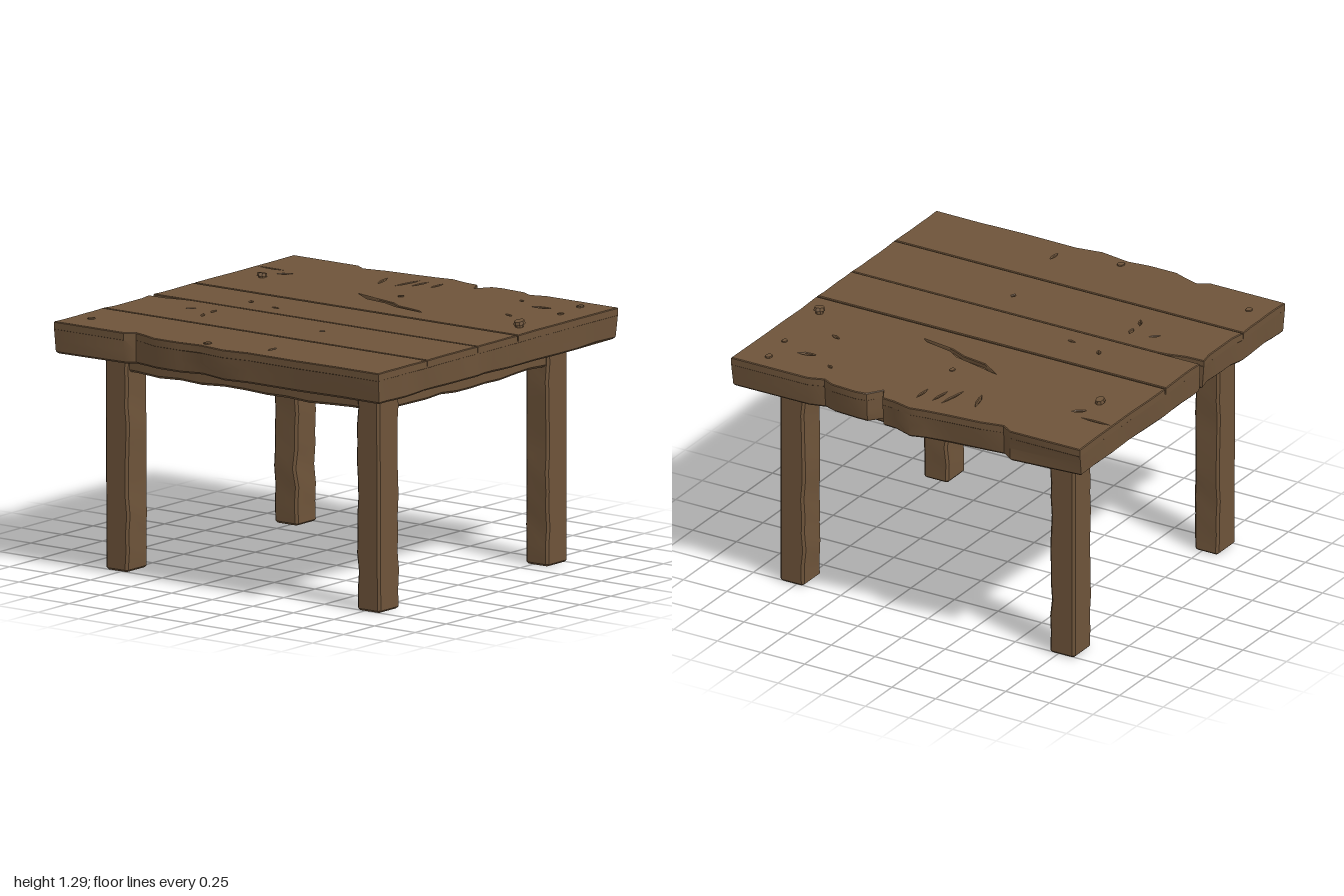
import * as THREE from 'three';
import { toCreasedNormals } from 'three/addons/utils/BufferGeometryUtils.js';

const wood = new THREE.MeshStandardMaterial({ color: 0x6e543a });
wood.name = 'brown wood';

// smooth repeatable unevenness in 0..1
const wear = (a, b) => 0.5 + 0.25 * (Math.sin(a * 9.1 + b * 4.3) + Math.sin(a * 23.7 - b * 7.9 + 1.3));

function moveVertices(geo, rule) {
  const p = geo.attributes.position;
  const v = new THREE.Vector3();
  for (let i = 0; i < p.count; i++) {
    v.fromBufferAttribute(p, i);
    rule(v);
    p.setXYZ(i, v.x, v.y, v.z);
  }
  return geo;
}

function addMesh(group, name, geo) {
  const mesh = new THREE.Mesh(toCreasedNormals(geo, 0.6), wood);
  mesh.name = name;
  group.add(mesh);
  return mesh;
}

// shape drawn in plan (x, z) and raised from y0 to y1
function slab(points, holes, y0, y1, bevel, steps) {
  const toPlan = (list) => list.map(([x, z]) => new THREE.Vector2(x, -z));
  const shape = new THREE.Shape(toPlan(points));
  holes.forEach((h) => shape.holes.push(new THREE.Path(toPlan(h))));
  const geo = new THREE.ExtrudeGeometry(shape, {
    depth: y1 - y0 - 2 * bevel, steps, bevelEnabled: true, bevelSegments: 1,
    bevelSize: bevel, bevelThickness: bevel, bevelOffset: -bevel,
  });
  return geo.rotateX(-Math.PI / 2).translate(0, y0 + bevel, 0);
}

// square timber along z with chamfered corners
function timber(w, h, length) {
  const x = w / 2, y = h / 2, c = 0.012;
  const shape = new THREE.Shape([
    [x - c, -y], [x, c - y], [x, y - c], [x - c, y], [c - x, y], [-x, y - c], [-x, c - y], [c - x, -y],
  ].map(([a, b]) => new THREE.Vector2(a, b)));
  const geo = new THREE.ExtrudeGeometry(shape, {
    depth: length - 0.02, steps: 12, bevelEnabled: true, bevelSegments: 1,
    bevelSize: 0.01, bevelThickness: 0.01, bevelOffset: -0.01,
  });
  return geo.translate(0, 0, 0.01 - length / 2);
}

// worn outer edges and plank joints, listed from back to front
const leftEdge = [[-0.97, -1], [-0.97, -0.57], [-0.935, -0.52], [-0.955, -0.45], [-0.985, -0.37], [-0.985, -0.22],
  [-0.97, -0.1], [-0.995, 0.06], [-0.972, 0.2], [-0.976, 0.5], [-0.968, 0.75], [-0.97, 1]];
const rightEdge = [[0.963, -1], [0.963, -0.6], [0.925, -0.54], [0.95, -0.42], [0.965, -0.25], [0.98, -0.12], [0.995, -0.04],
  [0.97, 0.06], [0.965, 0.13], [0.89, 0.17], [0.965, 0.22], [0.975, 0.28], [0.965, 0.42], [0.935, 0.48], [0.963, 0.56], [0.963, 1]];
const joint = (x) => [[x, -1], [x, -0.3], [x, 0.3], [x, 1]];
const notched = [[-0.205, -1], [-0.2, -0.9], [-0.175, -0.8], [-0.17, -0.75], [-0.17, 1]];
const planks = [
  { left: leftEdge, right: joint(-0.575), gaps: [0, 0.003] },
  { left: joint(-0.575), right: notched, gaps: [0.003, 0.002] },
  { left: joint(-0.17), right: joint(0.155), gaps: [0.002, 0.005] },
  { left: joint(0.155), right: rightEdge, gaps: [0.005, 0] },
];

// cracks as [plank, x, z, length, width, angle]
const cracks = [
  [0, -0.83, 0.24, 0.07, 0.012, 0], [1, -0.41, -0.51, 0.06, 0.012, 0.5], [1, -0.31, -0.52, 0.05, 0.016, 0.2],
  [1, -0.35, 0.18, 0.025, 0.018, 0], [1, -0.32, -0.65, 0.05, 0.01, -0.8], [2, -0.06, -0.33, 0.04, 0.01, 1.5],
  [2, -0.02, -0.51, 0.04, 0.016, 0.6], [3, 0.75, -0.29, 0.13, 0.014, 0.3], [3, 0.78, -0.16, 0.17, 0.01, -0.15],
  [3, 0.82, -0.01, 0.1, 0.01, 0], [3, 0.8, -0.1, 0.12, 0.01, -0.1], [3, 0.5, 0.68, 0.05, 0.016, 1.2],
  [3, 0.8, 0.53, 0.03, 0.014, 1], [3, 0.65, -0.9, 0.16, 0.008, 1.57], [3, 0.59, -0.77, 0.07, 0.02, -0.9],
  [3, 0.735, 0.7, 0.09, 0.024, -1.3],
];
const gouge = [[0.29, 0.3], [0.32, 0.12], [0.36, 0.03], [0.38, -0.1], [0.45, -0.21], [0.41, -0.07], [0.38, 0.06], [0.34, 0.12], [0.31, 0.27]];

function crackOutline([, x, z, length, width, angle]) {
  return [[-1, 0], [-0.3, -1], [0.4, -0.7], [1, 0], [0.3, 1], [-0.5, 0.6]].map(([u, v]) => {
    const a = u * length / 2, b = v * width / 2;
    return [x + a * Math.cos(angle) + b * Math.sin(angle), z - a * Math.sin(angle) + b * Math.cos(angle)];
  });
}

// plank outline, with slightly uneven cut ends
function plankOutline({ left, right }, gapL, gapR) {
  const l = left.map(([x, z]) => [x + gapL, z]);
  const r = right.map(([x, z]) => [x - gapR, z]);
  const end = (a, b, sign) => [0.2, 0.4, 0.6, 0.8].map((t) => {
    const x = a[0] + (b[0] - a[0]) * t;
    const dip = sign < 0 && x > -0.55 && x < -0.25 ? 0.014 : 0.006 * wear(x, sign);
    return [x, sign * (1 - dip)];
  });
  return [...l, ...end(l.at(-1), r.at(-1), 1), ...r.reverse(), ...end(r.at(-1), l[0], -1)];
}

export function createModel() {
  const table = new THREE.Group();
  table.name = 'table';

  // table top: thick planks under a worn, cracked upper layer
  planks.forEach((plank, i) => {
    const body = slab(plankOutline(plank, 0, 0), [], 1.096, 1.235, 0.01, 2);
    moveVertices(body, (v) => {
      const depth = (1.235 - v.y) / 0.139;
      if (Math.abs(v.x) > 0.88) v.x -= Math.sign(v.x) * 0.025 * depth * wear(v.z, v.x > 0 ? 1 : 2);
      if (Math.abs(v.z) > 0.95) v.z -= Math.sign(v.z) * 0.014 * depth * wear(v.x, v.z > 0 ? 3 : 4);
      if (depth > 0.9) v.y += 0.008 * wear(v.x * 0.6, v.z * 0.6);
    });
    addMesh(table, 'plank' + (i + 1), body);
    const holes = cracks.filter((c) => c[0] === i).map(crackOutline);
    if (i === 3) holes.push(gouge);
    addMesh(table, 'plankSurface' + (i + 1), slab(plankOutline(plank, ...plank.gaps), holes, 1.215, 1.257, 0.004, 1));
  });

  // flush pegs and two raised nails: x, z, radius, rise, tilt
  [[-0.81, -0.89, 0.024, 0.006, 0], [-0.92, -0.09, 0.026, 0.006, 0], [0.52, 0, 0.02, 0.005, 0], [0.67, 0.87, 0.02, 0.006, 0],
    [0.86, 0.845, 0.024, 0.008, 0], [0.31, 0.89, 0.034, 0.036, 0.15], [0.46, -0.81, 0.03, 0.026, -0.2],
  ].forEach(([x, z, r, rise, tilt], i) => {
    const raised = rise > 0.02;
    const geo = new THREE.CylinderGeometry(r * 0.85, r, raised ? 0.018 : 0.02, 8).scale(1, 1, 0.8);
    const head = addMesh(table, 'peg' + (i + 1), geo);
    head.position.set(x, 1.257 + rise - (raised ? 0.012 : 0.01), z);
    head.rotation.z = tilt;
    if (raised) {
      const shank = addMesh(table, 'nailShank' + (i + 1), new THREE.CylinderGeometry(r * 0.6, r * 0.6, rise, 8));
      shank.position.set(x, 1.25 + rise / 2 - 0.008, z);
    }
  });

  // legs, rough on their inner faces
  for (const sx of [-1, 1]) {
    for (const sz of [-1, 1]) {
      const geo = timber(0.165, 0.14, 1.12).rotateX(-Math.PI / 2);
      moveVertices(geo, (v) => {
        const n = wear(v.y * 1.6, sx + 2 * sz);
        if (v.x * sx < 0) v.x += sx * 0.014 * (n - 0.5);
        if (v.z * sz < 0) v.z += sz * 0.014 * (0.5 - n);
        v.x += sx * 0.006 * v.y * (sx < 0 ? 1 : 0);
      });
      geo.translate(sx * 0.68, 0.56, sz * 0.775);
      addMesh(table, (sz > 0 ? 'front' : 'back') + (sx > 0 ? 'Left' : 'Right') + 'Leg', geo);
    }
  }

  // apron rails under the top
  for (const s of [-1, 1]) {
    const sag = (v) => {
      if (v.y < 0) v.y += 0.016 * (wear(v.z * 0.8, s) - 0.6) - 0.006 * (1 - v.z * v.z);
      v.x += 0.008 * (wear(v.z, s + v.y * 3) - 0.5);
    };
    const long = moveVertices(timber(0.13, 0.11, 1.42), sag).rotateY(Math.PI / 2);
    addMesh(table, s > 0 ? 'frontRail' : 'backRail', long.translate(0, 1.06, s * 0.768));
    const side = moveVertices(timber(0.145, 0.11, 1.6), sag);
    addMesh(table, s > 0 ? 'leftRail' : 'rightRail', side.translate(s * 0.672, 1.061, 0));
  }
  return table;
}
